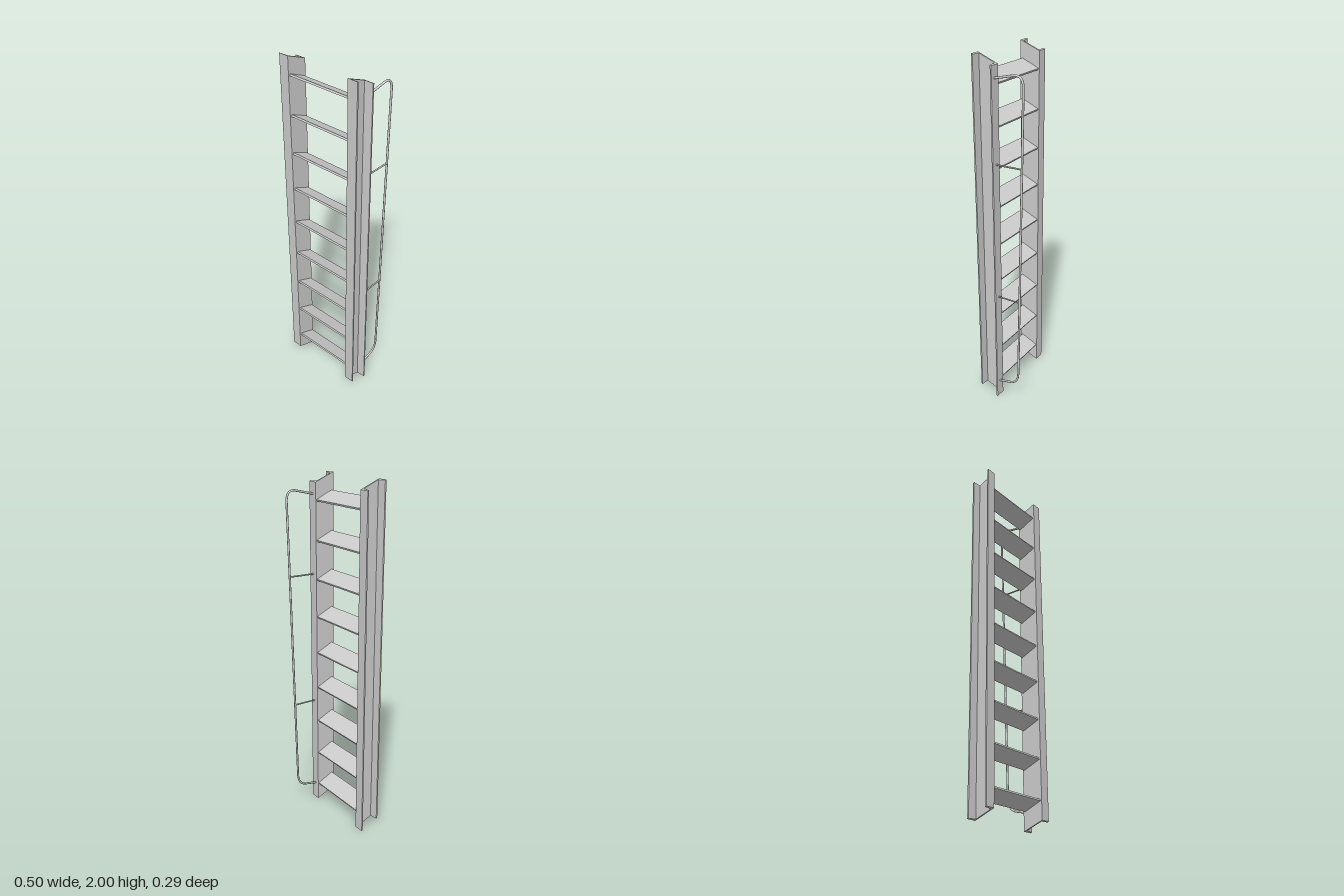
import * as THREE from 'three';

const Z_BACK = 0.026, Z_FRONT = 0.143, SLOPE = 0.39;

export function createModel() {
  const group = new THREE.Group();
  const material = new THREE.MeshStandardMaterial({ color: 0xcccccc });
  const add = (name, geometry, parent = group) => {
    const mesh = new THREE.Mesh(geometry, material);
    mesh.name = name;
    parent.add(mesh);
    return mesh;
  };

  // Side channels: C section with tapered flanges, ends cut on a slant
  const section = [
    [0.191, Z_BACK], [0.249, Z_BACK], [0.249, Z_BACK + 0.008], [0.201, Z_BACK + 0.012],
    [0.201, Z_FRONT - 0.012], [0.249, Z_FRONT - 0.008], [0.249, Z_FRONT], [0.191, Z_FRONT],
  ];
  const rise = (Z_FRONT - Z_BACK) * SLOPE;
  for (const [side, name] of [[1, 'leftStringer'], [-1, 'rightStringer']]) {
    const shape = new THREE.Shape(section.map(([x, z]) => new THREE.Vector2(side * x, -z)));
    const geometry = new THREE.ExtrudeGeometry(shape, { depth: 2 - rise, bevelEnabled: false });
    geometry.rotateX(-Math.PI / 2);
    const p = geometry.attributes.position;
    for (let i = 0; i < p.count; i++) {
      p.setY(i, p.getY(i) + (p.getZ(i) - Z_BACK) * SLOPE);
    }
    geometry.computeVertexNormals();
    add(name, geometry);
  }

  // Flat treads, tilted up towards the front
  const treads = new THREE.Group();
  treads.name = 'treads';
  group.add(treads);
  const treadGeometry = new THREE.BoxGeometry(0.382, 0.011, 0.11);
  for (let i = 0; i < 9; i++) {
    const tread = add('tread', treadGeometry, treads);
    tread.position.set(0, 0.127 + i * 0.219, 0.083);
    tread.rotation.x = -0.41;
  }

  // Bent handrail on the left stringer
  const handrail = new THREE.Group();
  handrail.name = 'handrail';
  group.add(handrail);
  const point = (z, y) => new THREE.Vector3(0.2215 - z * 0.012, y, z);
  const a = point(0.03, 1.89), b = point(-0.085, 1.916), c = point(-0.139, 1.86);
  const d = point(-0.103, 0.2), e = point(-0.045, 0.117), f = point(0.03, 0.1);
  const segments = [
    [new THREE.LineCurve3(a, b), 1],
    [new THREE.QuadraticBezierCurve3(b, point(-0.14, 1.926), c), 10],
    [new THREE.LineCurve3(c, d), 1],
    [new THREE.QuadraticBezierCurve3(d, point(-0.101, 0.13), e), 10],
    [new THREE.LineCurve3(e, f), 1],
  ];
  for (const [curve, steps] of segments) {
    add('railPipe', new THREE.TubeGeometry(curve, steps, 0.006, 12), handrail);
  }

  // Brackets between rail and stringer
  for (const [y, zRail] of [[1.451, -0.13], [0.674, -0.113]]) {
    const curve = new THREE.LineCurve3(point(0.03, y - 0.002), point(zRail, y + 0.003));
    add('railBracket', new THREE.TubeGeometry(curve, 1, 0.0045, 10), handrail);
  }
  return group;
}
